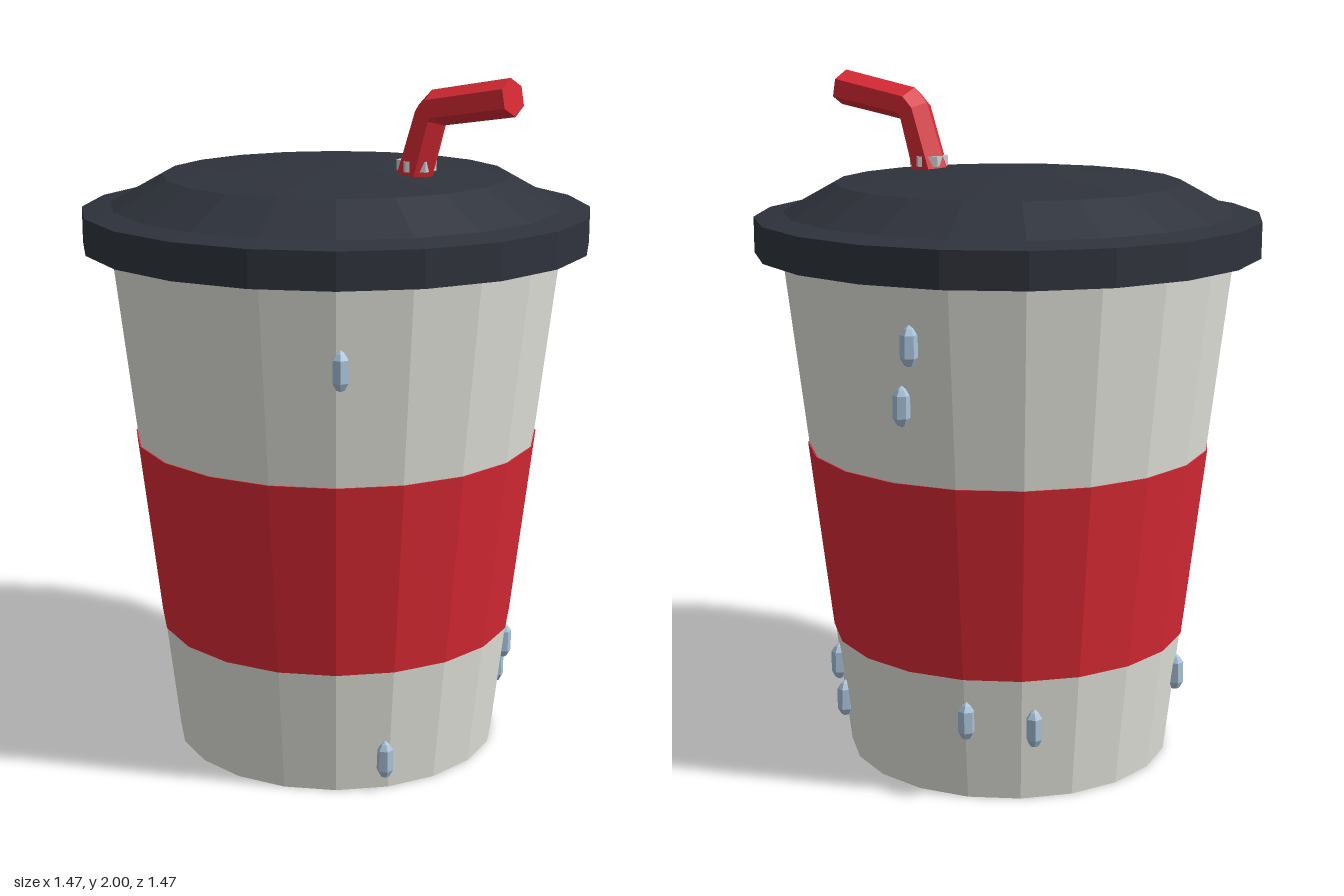
import * as THREE from 'three';

const SIDES = 20;
const mat = (color) => new THREE.MeshStandardMaterial({ color, flatShading: true });
const cupRadius = (y) => 0.48 + (0.175 * y) / 1.5;

function lathe(name, points, sides, material) {
  const profile = points.map(([r, y]) => new THREE.Vector2(r, y));
  const mesh = new THREE.Mesh(new THREE.LatheGeometry(profile, sides), material);
  mesh.name = name;
  return mesh;
}

// Six-sided bent straw: each ring is given by its outer and inner corner in the xy plane
function strawGeometry() {
  const n = 6, r = 0.058;
  const rings = [
    [0.197, 1.67, 0.306, 1.63],
    [0.283, 1.913, 0.365, 1.86],
    [0.325, 1.955, 0.365, 1.86],
    [0.574, 2.0, 0.592, 1.897],
  ].map(([ox, oy, ix, iy]) => Array.from({ length: n }, (_, k) => {
    const a = (k / n) * Math.PI * 2, t = (1 - Math.cos(a)) / 2;
    return [ox + (ix - ox) * t, oy + (iy - oy) * t, r * Math.sin(a)];
  }));
  const pos = [];
  for (let i = 0; i < rings.length - 1; i++) {
    for (let k = 0; k < n; k++) {
      const j = (k + 1) % n, a = rings[i], b = rings[i + 1];
      pos.push(...a[k], ...a[j], ...b[j], ...a[k], ...b[j], ...b[k]);
    }
  }
  // End caps
  const first = rings[0], last = rings[rings.length - 1];
  for (let k = 1; k < n - 1; k++) {
    pos.push(...last[0], ...last[k], ...last[k + 1]);
    pos.push(...first[0], ...first[k + 1], ...first[k]);
  }
  const geo = new THREE.BufferGeometry();
  geo.setAttribute('position', new THREE.Float32BufferAttribute(pos, 3));
  geo.computeVertexNormals();
  return geo;
}

export function createModel() {
  const model = new THREE.Group();
  model.name = 'drinkCup';
  const red = mat(0xd92a34);

  // Tapered cup with a closed bottom
  model.add(lathe('cup', [[0, 0], [0.48, 0], [cupRadius(1.52), 1.52]], SIDES, mat(0xe4e4dd)));

  // Coloured band just proud of the cup wall
  const [y0, y1] = [0.37, 0.935];
  model.add(lathe('band', [
    [cupRadius(y0) - 0.005, y0], [cupRadius(y0) + 0.004, y0],
    [cupRadius(y1) + 0.004, y1], [cupRadius(y1) - 0.005, y1],
  ], SIDES, red));

  // Domed lid with a wide rim
  model.add(lathe('lid', [
    [0, 1.5], [0.733, 1.5], [0.733, 1.603], [0.65, 1.617],
    [0.5, 1.7], [0.15, 1.733], [0, 1.735],
  ], SIDES, mat(0x2f333c)));

  // Straw and the small collar at its foot
  const straw = new THREE.Mesh(strawGeometry(), red);
  straw.name = 'straw';
  const collar = new THREE.Mesh(new THREE.CylinderGeometry(0.056, 0.056, 0.03, 6), mat(0xcccccc));
  collar.name = 'strawCollar';
  collar.position.set(0.277, 1.745, 0);
  model.add(straw, collar);

  // Faceted droplets on the cup wall: angle from the front in degrees, height
  const dropMat = mat(0xa9c3da);
  const drops = [
    [37, 1.27], [52.3, 0.095], [288, 0.25], [128.7, 0.26],
    [134.4, 0.16], [187.7, 1.33], [184.5, 1.16], [198.6, 0.245], [220, 0.225],
  ];
  for (const [deg, y] of drops) {
    const drop = lathe('droplet', [
      [0, -0.057], [0.013, -0.052], [0.024, -0.032], [0.024, 0.03], [0.013, 0.046], [0, 0.057],
    ], 6, dropMat);
    const a = THREE.MathUtils.degToRad(deg), r = cupRadius(y) + 0.004;
    drop.position.set(r * Math.sin(a), y, r * Math.cos(a));
    drop.rotation.y = a;
    model.add(drop);
  }
  return model;
}
